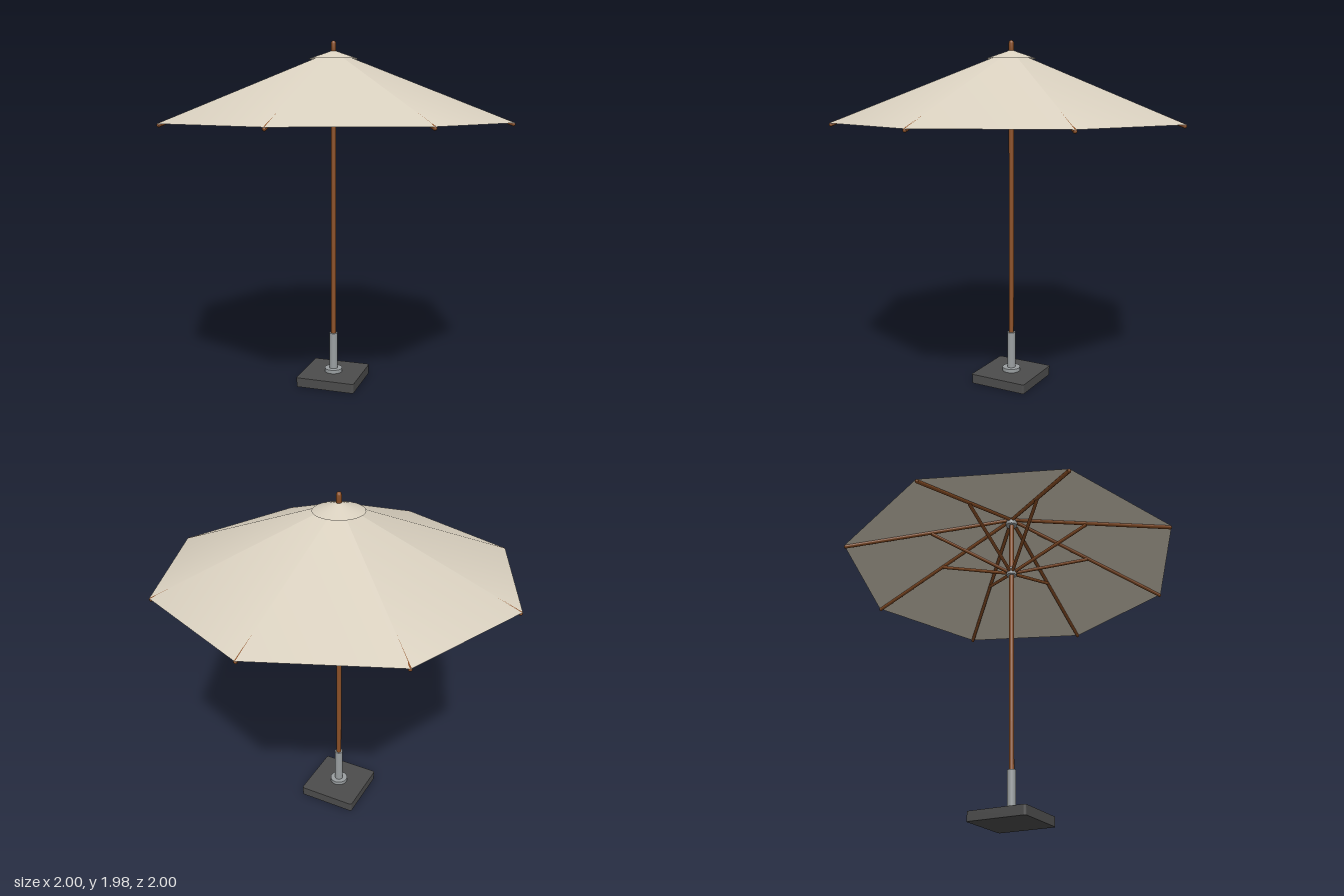
import * as THREE from 'three';

export function createModel() {
  const group = new THREE.Group();
  const material = (name, color, side = THREE.FrontSide) => {
    const m = new THREE.MeshStandardMaterial({ color, side });
    m.name = name;
    return m;
  };
  const fabric = material('beige fabric', 0xd9d0bf, THREE.DoubleSide);
  const wood = material('brown wood', 0x8a4f26);
  const metal = material('grey metal', 0x9a9fa1);
  const stone = material('dark base', 0x4c4c4c);

  const add = (name, geometry, mat, y = 0) => {
    const mesh = new THREE.Mesh(geometry, mat);
    mesh.name = name;
    mesh.position.y = y;
    group.add(mesh);
    return mesh;
  };
  // Upright cylinder between two heights
  const post = (name, r, y0, y1, mat) =>
    add(name, new THREE.CylinderGeometry(r, r, y1 - y0, 24), mat, (y0 + y1) / 2);
  // Round bar between two points
  const up = new THREE.Vector3(0, 1, 0);
  const bar = (name, a, b, r, mat) => {
    const dir = b.clone().sub(a);
    const mesh = add(name, new THREE.CylinderGeometry(r, r, dir.length(), 10), mat);
    mesh.position.copy(a).add(b).multiplyScalar(0.5);
    mesh.quaternion.setFromUnitVectors(up, dir.normalize());
  };

  // Square base slab with softened vertical corners
  const h = 0.173, c = 0.014;
  const slab = new THREE.Shape();
  slab.moveTo(-h + c, -h);
  slab.lineTo(h - c, -h).quadraticCurveTo(h, -h, h, -h + c);
  slab.lineTo(h, h - c).quadraticCurveTo(h, h, h - c, h);
  slab.lineTo(-h + c, h).quadraticCurveTo(-h, h, -h, h - c);
  slab.lineTo(-h, -h + c).quadraticCurveTo(-h, -h, -h + c, -h);
  const slabGeometry = new THREE.ExtrudeGeometry(slab, { depth: 0.054, bevelEnabled: false, curveSegments: 4 });
  add('base', slabGeometry.rotateX(-Math.PI / 2), stone);

  // Metal socket and wooden pole
  post('baseFlange', 0.052, 0.054, 0.075, metal);
  post('baseSocket', 0.024, 0.075, 0.29, metal);
  post('pole', 0.0145, 0.28, 1.93, wood);

  // Rounded finial
  const finial = [[0, 1.9], [0.015, 1.9], [0.015, 1.958], [0.013, 1.967], [0.008, 1.973], [0, 1.975]];
  add('finial', new THREE.LatheGeometry(finial.map(p => new THREE.Vector2(...p)), 20), wood);

  // Hubs that hold the ribs and the struts
  post('topHub', 0.034, 1.862, 1.892, metal);
  post('runner', 0.03, 1.5, 1.545, metal);

  // Eight-sided canopy and the round vent cap over it
  add('canopy', new THREE.ConeGeometry(1, 0.39, 8, 1, true), fabric, 1.725);
  add('ventCap', new THREE.ConeGeometry(0.14, 0.048, 32, 1, true), fabric, 1.899);

  // Ribs under the seams, each braced by a strut from the runner
  for (let i = 0; i < 8; i++) {
    const a = (i * Math.PI) / 4;
    const at = (r, y) => new THREE.Vector3(Math.sin(a) * r, y, Math.cos(a) * r);
    bar('rib', at(0.025, 1.896), at(0.993, 1.522), 0.0105, wood);
    bar('strut', at(0.025, 1.524), at(0.5, 1.705), 0.01, wood);
    const tip = add('ribTip', new THREE.SphereGeometry(0.0105, 10, 8), wood);
    tip.position.copy(at(0.99, 1.5225));
  }
  return group;
}
